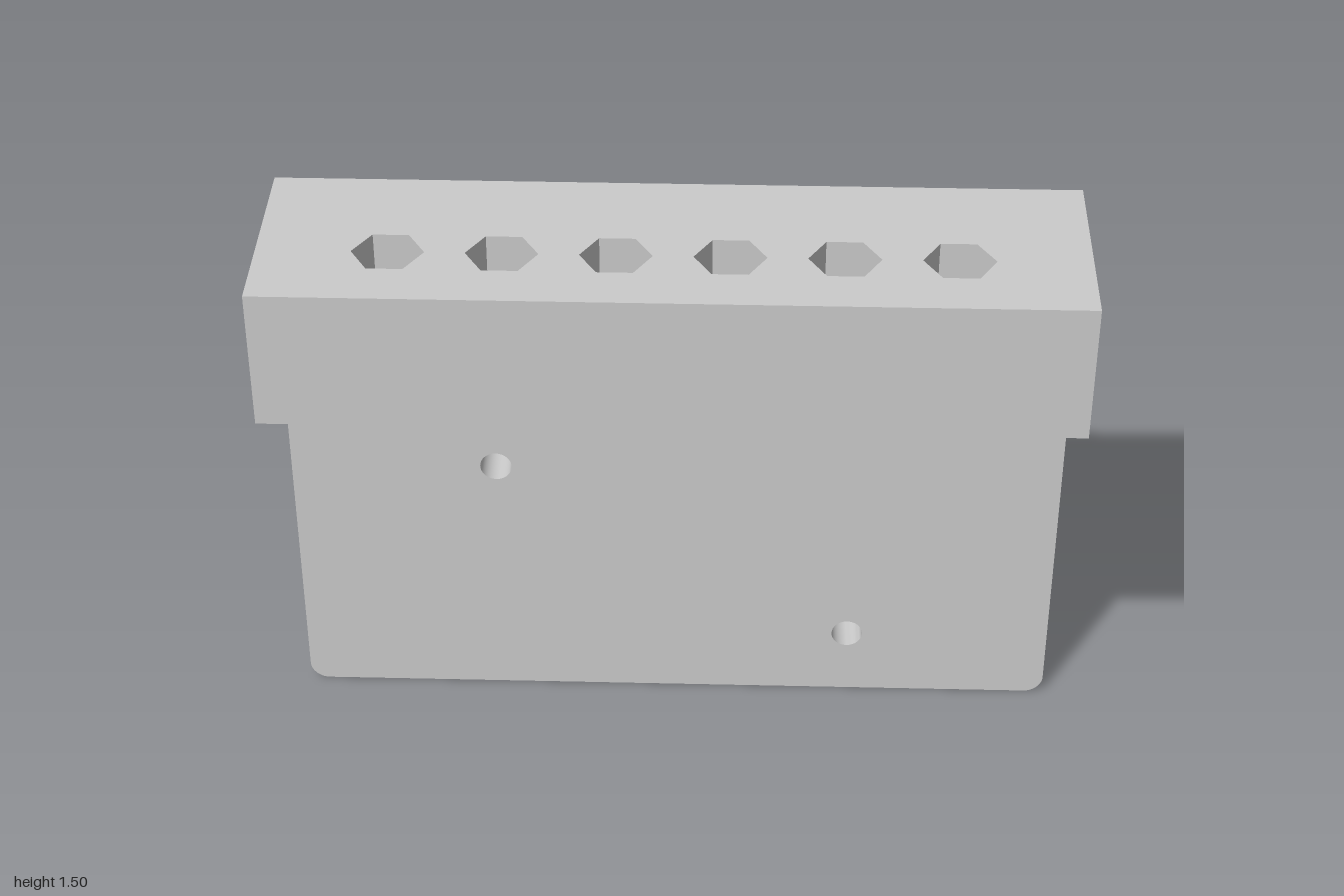
import * as THREE from 'three';
import { toCreasedNormals } from 'three/addons/utils/BufferGeometryUtils.js';

const BACK = -0.272, FRONT = 0.272, PLATE_FRONT = -0.136;
const HEAD_Y = 1.14, TOP_Y = 1.503, POCKET_DEPTH = 0.27;

export function createModel() {
  const group = new THREE.Group();
  const material = new THREE.MeshStandardMaterial({ color: 0xcccccc });

  const extrude = (shape, depth) => toCreasedNormals(
    new THREE.ExtrudeGeometry(shape, { depth, bevelEnabled: false, curveSegments: 16 }), 0.6);
  const add = (name, geometry, x = 0, y = 0, z = 0) => {
    const mesh = new THREE.Mesh(geometry, material);
    mesh.name = name;
    mesh.position.set(x, y, z);
    group.add(mesh);
  };

  // Back plate: rounded bottom corners and two screw holes
  const r = 0.05;
  const plate = new THREE.Shape();
  plate.moveTo(-1 + r, 0);
  plate.lineTo(1 - r, 0);
  plate.absarc(1 - r, r, r, -Math.PI / 2, 0, false);
  plate.lineTo(1, HEAD_Y);
  plate.lineTo(-1, HEAD_Y);
  plate.lineTo(-1, r);
  plate.absarc(-1 + r, r, r, Math.PI, Math.PI * 1.5, false);
  for (const [x, y] of [[-0.467, 0.727], [0.462, 0.19]]) {
    plate.holes.push(new THREE.Path().absarc(x, y, 0.041, 0, Math.PI * 2, true));
  }
  add('backPlate', extrude(plate, PLATE_FRONT - BACK), 0, 0, BACK);

  // Head: solid floor with a deck above it, pierced by six hexagonal pockets
  const floorHeight = TOP_Y - POCKET_DEPTH - HEAD_Y;
  add('headFloor', new THREE.BoxGeometry(2, floorHeight, FRONT - BACK),
    0, HEAD_Y + floorHeight / 2, 0);

  const deck = new THREE.Shape([
    [-1, -FRONT], [1, -FRONT], [1, -BACK], [-1, -BACK],
  ].map(([x, y]) => new THREE.Vector2(x, y)));
  for (let i = 0; i < 6; i++) {
    const cx = (i - 2.5) * 0.273;
    const corners = [];
    for (let k = 0; k < 6; k++) {
      const a = -k * Math.PI / 3;
      corners.push(new THREE.Vector2(cx + 0.088 * Math.cos(a), -0.065 + 0.088 * Math.sin(a)));
    }
    deck.holes.push(new THREE.Path(corners));
  }
  add('pocketDeck', extrude(deck, POCKET_DEPTH).rotateX(-Math.PI / 2), 0, TOP_Y - POCKET_DEPTH, 0);

  // Triangular gussets under the head at both ends
  const gusset = new THREE.Shape([
    [PLATE_FRONT, 0.886], [0.16, HEAD_Y], [PLATE_FRONT, HEAD_Y],
  ].map(([z, y]) => new THREE.Vector2(z, y)));
  const width = 0.067;
  const gussetGeometry = extrude(gusset, width).rotateY(-Math.PI / 2);
  add('leftGusset', gussetGeometry, 1);
  add('rightGusset', gussetGeometry, -1 + width);

  return group;
}
